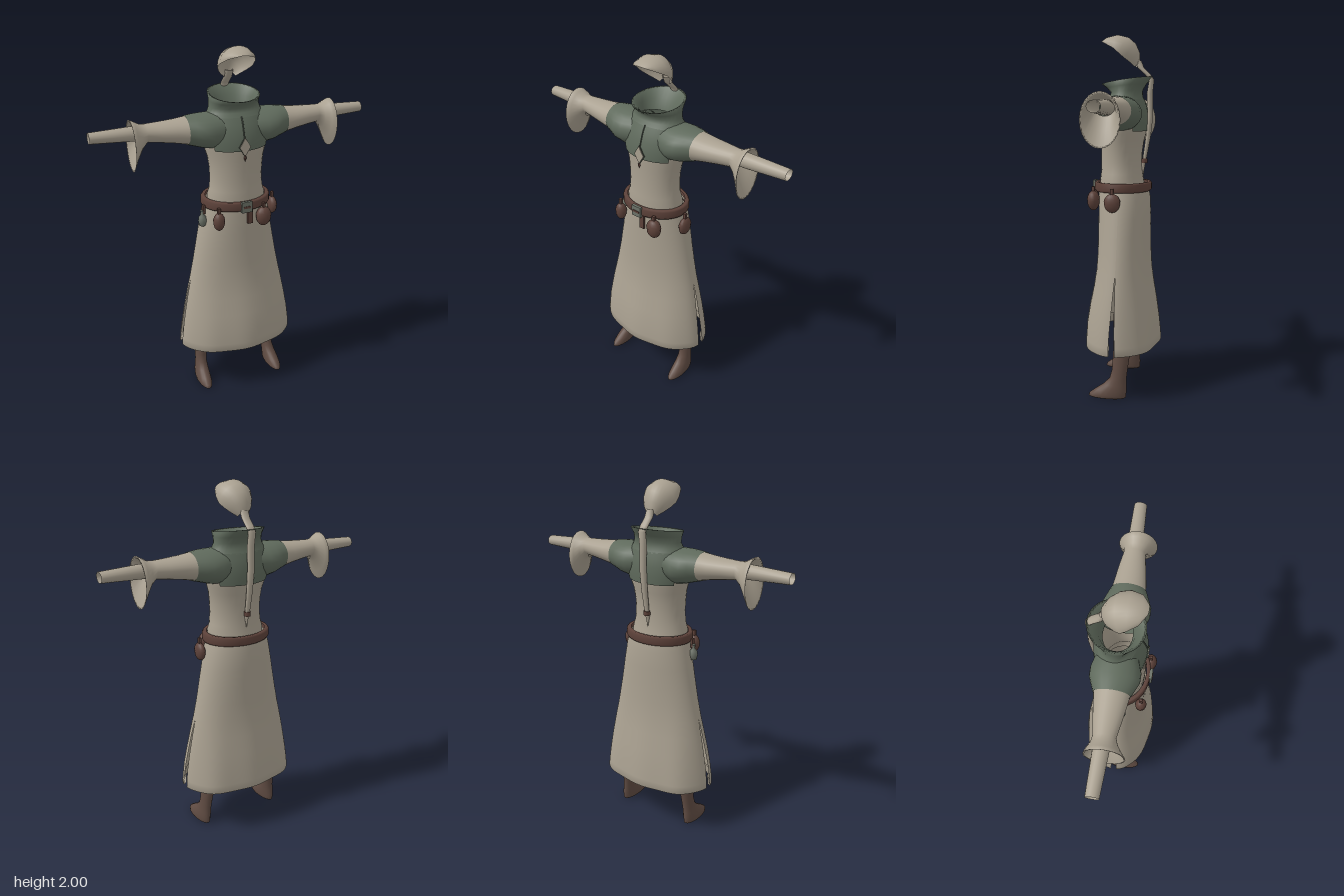
import * as THREE from 'three';

const material = (name, color) => {
  const m = new THREE.MeshStandardMaterial({ color, side: THREE.DoubleSide });
  m.name = name;
  return m;
};

// Joins point loops into one smooth skin.
function loft(rings, closed = true) {
  const n = rings[0].length, index = [];
  for (let r = 0; r < rings.length - 1; r++) {
    for (let i = 0; i < (closed ? n : n - 1); i++) {
      const j = (i + 1) % n, a = r * n + i, b = r * n + j, c = a + n, d = b + n;
      index.push(a, c, b, b, c, d);
    }
  }
  const g = new THREE.BufferGeometry().setFromPoints(rings.flat());
  g.setIndex(index);
  g.computeVertexNormals();
  return g;
}

// Horizontal oval: height, half width, front z, back z, rise towards the back, centre x.
function oval([y, w, zf, zb, tilt = 0, cx = 0], n = 32, from = 0, to = Math.PI * 2) {
  const full = to - from > 6.28, pts = [];
  for (let i = 0; i < n; i++) {
    const a = from + (to - from) * i / (full ? n : n - 1);
    pts.push(new THREE.Vector3(cx + w * Math.cos(a), y - tilt * Math.sin(a),
      (zf + zb) / 2 + (zf - zb) / 2 * Math.sin(a)));
  }
  return pts;
}

// Upright oval across an arm: x, top, bottom, front z, back z.
function armOval([x, top, bottom, zf, zb], n = 24) {
  return Array.from({ length: n }, (_, i) => {
    const a = i / n * Math.PI * 2;
    return new THREE.Vector3(x, (top + bottom) / 2 + (top - bottom) / 2 * Math.cos(a),
      (zf + zb) / 2 + (zf - zb) / 2 * Math.sin(a));
  });
}

export function createModel() {
  const cloth = material('cream cloth', 0xaaa191);
  const green = material('green mantle', 0x5f6a5c);
  const seamGreen = material('dark green seam', 0x434b41);
  const leather = material('belt leather', 0x5c4139);
  const bootBrown = material('boot leather', 0x5f4b42);
  const metal = material('dull metal', 0x6c7268);

  const model = new THREE.Group();
  const add = (name, geometry, mat, parent = model) => {
    const m = new THREE.Mesh(geometry, mat);
    m.name = name;
    parent.add(m);
    return m;
  };
  const stack = (rows) => loft(rows.map((r) => oval(r)));

  // Shirt below the mantle
  add('shirt', stack([
    [1.14, .165, .13, -.125], [1.2, .165, .13, -.115], [1.24, .152, .125, -.108], [1.3, .148, .122, -.105],
    [1.36, .15, .122, -.106], [1.42, .158, .123, -.115], [1.46, .17, .126, -.126], [1.5, .176, .126, -.13],
  ]), cloth);

  // Mantle: front and back panels leave the arm holes open
  const chest = [[1.475, .18, .134, -.135], [1.52, .19, .133, -.138], [1.57, .19, .122, -.136],
    [1.61, .178, .108, -.128], [1.645, .168, .09, -.118]];
  for (const [name, mid] of [['mantleFront', Math.PI / 2], ['mantleBack', Math.PI * 1.5]]) {
    add(name, loft(chest.map((r) => oval(r, 20, mid - .95, mid + .95)), false), green);
  }
  add('yokeAndCollar', stack([
    [1.64, .168, .092, -.12], [1.665, .15, .075, -.108], [1.69, .14, .066, -.105, .005],
    [1.72, .138, .088, -.125, .01], [1.752, .14, .12, -.165, .02],
    [1.75, .128, .105, -.15, .02], [1.71, .11, .07, -.11, .01], [1.66, .1, .055, -.09],
  ]), green);

  // Arms
  for (const side of [1, -1]) {
    const arm = new THREE.Group();
    arm.name = side > 0 ? 'leftArm' : 'rightArm';
    arm.scale.x = side;
    model.add(arm);
    const shoulder = [[.09, 1.665, 1.48, .1, -.115], [.15, 1.665, 1.475, .12, -.13], [.2, 1.664, 1.485, .12, -.128],
      [.24, 1.662, 1.497, .103, -.112], [.28, 1.658, 1.508, .086, -.096]];
    add('mantleShoulder', loft(shoulder.map((r) => armOval(r))), green, arm);
    add('sleeve', loft([
      [.25, 1.657, 1.503, .096, -.105], [.28, 1.655, 1.511, .083, -.093], [.34, 1.648, 1.524, .075, -.085],
      [.42, 1.643, 1.537, .062, -.074], [.49, 1.64, 1.545, .05, -.062], [.52, 1.643, 1.51, .062, -.068],
      [.55, 1.66, 1.45, .085, -.088], [.572, 1.672, 1.4, .105, -.098],
      [.57, 1.66, 1.41, .095, -.09], [.54, 1.645, 1.48, .065, -.07], [.5, 1.63, 1.555, .045, -.055],
    ].map((r) => armOval(r))), cloth, arm);
    add('forearmWrap', loft([[.46, 1.635, 1.555, .03, -.055], [.57, 1.634, 1.558, .028, -.052],
      [.78, 1.625, 1.568, .018, -.05]].map((r) => armOval(r, 16))), cloth, arm);
  }

  // Skirt: two panels with slits at the sides and a folded hem
  const skirt = [[1.17, .175, .135, -.14], [1.1, .195, .137, -.153], [1, .215, .137, -.155], [.9, .234, .138, -.155],
    [.8, .253, .14, -.156], [.7, .274, .147, -.16], [.6, .297, .163, -.172], [.5, .317, .185, -.188],
    [.4, .335, .202, -.2], [.32, .346, .208, -.207], [.275, .35, .21, -.21], [.28, .335, .197, -.197], [.34, .33, .192, -.19]];
  for (const [name, start] of [['skirtFront', 0], ['skirtBack', Math.PI]]) {
    const rows = skirt.map((r) => {
      const slit = r[0] < .7 ? .012 + .17 * (.7 - r[0]) : 0;
      const low = Math.max(0, (.9 - r[0]) / .6);
      const pts = oval(r, 49, start + slit, start + Math.PI - slit);
      // soft folds grow towards the hem, deeper at the back
      pts.forEach((p, i) => {
        const t = i / 48;
        p.z *= 1 + low * (start ? .09 * Math.sin(t * Math.PI) * Math.cos(t * Math.PI * 6 + Math.PI) * .5
          + .12 * Math.sin(t * Math.PI * 2) ** 2 : .015 * Math.cos(t * Math.PI * 8));
      });
      return pts;
    });
    add(name, loft(rows, false), cloth);
  }

  // Belt and buckle
  add('belt', stack([[1.145, .178, .14, -.14], [1.142, .193, .155, -.153], [1.152, .198, .161, -.16],
    [1.185, .197, .16, -.16], [1.194, .19, .154, -.153], [1.192, .172, .137, -.137]]), leather);
  add('buckle', new THREE.BoxGeometry(.06, .062, .016), metal).position.set(0, 1.168, .163);
  add('buckleBar', new THREE.BoxGeometry(.042, .012, .008), leather).position.set(0, 1.168, .17);
  add('beltEnd', new THREE.BoxGeometry(.03, .085, .014), leather).position.set(.026, 1.105, .15);

  // Pouches: a rounded bag, its flap and a hanging loop
  for (const [x, z, rx, ry, rz] of [[-.148, .13, .032, .05, .03], [.108, .15, .043, .054, .034], [.22, .02, .025, .05, .044]]) {
    const pouch = new THREE.Group();
    pouch.name = 'pouch';
    pouch.position.set(x, 1.09, z);
    model.add(pouch);
    add('pouchBag', new THREE.SphereGeometry(1, 14, 10), leather, pouch).scale.set(rx, ry, rz);
    const flap = add('pouchFlap', new THREE.SphereGeometry(1.06, 14, 5, 0, Math.PI * 2, 0, 1.4), leather, pouch);
    flap.scale.set(rx, ry, rz);
    add('pouchLoop', new THREE.BoxGeometry(.016, .05, .016), leather, pouch).position.y = .055;
  }

  // Small flask on the right hip
  const flask = add('flask', new THREE.LatheGeometry([[0, -.045], [.018, -.042], [.024, -.015], [.02, .01], [.009, .022],
    [.009, .042], [.013, .046], [0, .048]].map((p) => new THREE.Vector2(...p)), 12), metal);
  flask.position.set(-.208, 1.082, .03);
  add('flaskStrap', new THREE.BoxGeometry(.014, .05, .02), leather).position.set(-.2, 1.135, .03);

  // Chest ornament and front seam
  const diamond = new THREE.Shape([[0, .05], [.03, 0], [0, -.048], [-.03, 0]].map((p) => new THREE.Vector2(...p)));
  const plate = { depth: .006, bevelEnabled: false };
  const rim = add('ornamentRim', new THREE.ExtrudeGeometry(diamond, plate), seamGreen);
  rim.position.set(0, 1.497, .131);
  rim.scale.set(1.12, 1.1, 1);
  add('ornament', new THREE.ExtrudeGeometry(diamond, plate), cloth).position.set(0, 1.497, .134);
  const pendant = add('ornamentPendant', new THREE.OctahedronGeometry(.02), leather);
  pendant.position.set(0, 1.44, .138);
  pendant.scale.set(.45, 1, .4);
  add('frontSeam', new THREE.TubeGeometry(new THREE.CatmullRomCurve3([[1.54, .131], [1.58, .119], [1.62, .104], [1.65, .087]]
    .map(([y, z]) => new THREE.Vector3(0, y, z))), 12, .004, 6), seamGreen);

  // Boots
  for (const side of [1, -1]) {
    const boot = loft([
      [.47, .036, .02, -.085, 0, .192], [.27, .04, .017, -.08, 0, .208], [.16, .034, .022, -.066, 0, .22],
      [.11, .033, .035, -.06, 0, .224], [.075, .036, .07, -.06, 0, .227], [.045, .04, .115, -.062, 0, .23],
      [.02, .041, .148, -.06, 0, .231], [.004, .039, .154, -.058, 0, .231], [0, .034, .148, -.052, 0, .231],
      [0, .001, .05, .04, 0, .231],
    ].map((r) => oval(r, 20)));
    add(side > 0 ? 'leftBoot' : 'rightBoot', boot, bootBrown).scale.x = side;
  }

  // Hair shell: crown z, y; edge z, y; half width
  const shell = [[.122, 1.965, .115, 1.96, .03], [.09, 1.986, .085, 1.945, .075], [.03, 2, .035, 1.918, .098],
    [-.03, 1.985, .005, 1.89, .099], [-.07, 1.95, -.02, 1.868, .083], [-.092, 1.9, -.045, 1.848, .062],
    [-.092, 1.845, -.068, 1.825, .03]];
  add('hairShell', loft(shell.map(([cz, cy, ez, ey, w]) => Array.from({ length: 17 }, (_, i) => {
    const a = (i / 16 - .5) * Math.PI, c = Math.cos(a);
    return new THREE.Vector3(w * Math.sin(a), ey + (cy - ey) * c, ez + (cz - ez) * c);
  })), false), cloth);

  // Ponytail: y, z, half width, half depth
  const tail = [[1.86, -.08, .022, .02], [1.82, -.098, .024, .018], [1.785, -.135, .024, .016], [1.755, -.158, .022, .014],
    [1.68, -.148, .02, .017], [1.56, -.152, .02, .016], [1.44, -.14, .018, .014], [1.33, -.122, .015, .011], [1.3, -.118, .013, .01]];
  add('ponytail', loft(tail.map(([y, z, w, d]) => oval([y, w, z + d, z - d], 12))), cloth);
  add('ponytailBand', new THREE.CylinderGeometry(.018, .018, .024, 12), leather).position.set(0, 1.31, -.12);
  const tip = add('ponytailTip', new THREE.ConeGeometry(.014, .08, 10), cloth);
  tip.position.set(0, 1.262, -.113);
  tip.rotation.x = Math.PI;

  return model;
}
